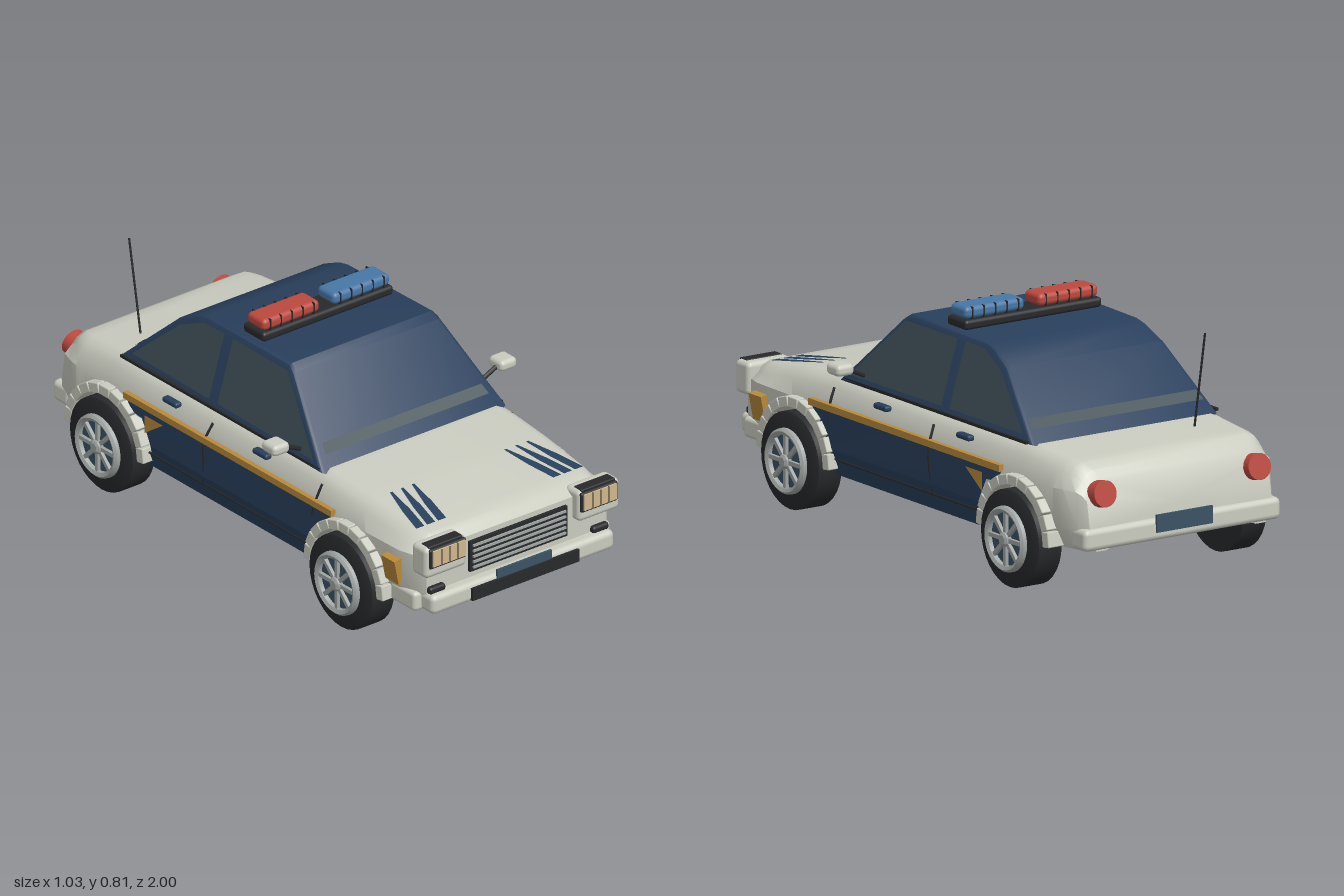
import * as THREE from 'three';
import { toCreasedNormals } from 'three/addons/utils/BufferGeometryUtils.js';
import { RoundedBoxGeometry } from 'three/addons/geometries/RoundedBoxGeometry.js';

const mat = (name, color) => {
  const m = new THREE.MeshStandardMaterial({ color, side: THREE.DoubleSide });
  m.name = name;
  return m;
};
const cream = mat('cream paint', 0xcaccc0), navy = mat('navy paint', 0x293f5c);
const glass = mat('window glass', 0x3c4c53), slate = mat('slate', 0x3b5264);
const black = mat('black rubber', 0x28292b), gold = mat('gold trim', 0xb98a3c);
const red = mat('red lamp', 0xbb493e), blue = mat('blue lamp', 0x4877a6);
const lens = mat('headlight lens', 0xd0b88c), grey = mat('rim grey', 0x9fa5a2);

// Straight-line interpolation in a short table of [position, value]
const lerpTable = (t, v) => {
  if (v <= t[0][0]) return t[0][1];
  for (let i = 1; i < t.length; i++) {
    const [a, b] = [t[i - 1], t[i]];
    if (v <= b[0]) return a[1] + (b[1] - a[1]) * (v - a[0]) / (b[0] - a[0]);
  }
  return t[t.length - 1][1];
};
const topY = z => lerpTable([[-0.975, 0.39], [-0.94, 0.432], [-0.88, 0.453], [-0.65, 0.47],
  [0.42, 0.475], [0.65, 0.458], [0.9, 0.425], [0.95, 0.395]], z);
const floorY = z => lerpTable([[-0.95, 0.18], [-0.88, 0.32], [0.8, 0.32], [0.93, 0.172]], z);
const narrow = z => lerpTable([[-0.975, 0.06], [-0.94, 0.035], [-0.85, 0.01], [-0.5, 0],
  [0.5, 0], [0.85, 0.01], [0.92, 0.03], [0.95, 0.045]], z);
const sideX = (y, z) => lerpTable([[0.15, 0.4], [0.24, 0.425], [0.37, 0.425], [0.44, 0.395],
  [0.475, 0.36]], y) - narrow(z);
const cabinX = (y, z) => (0.383 - 0.08 * (y - 0.47) / 0.265) * (1 + 0.04 * z);
const AXLES = [0.6, -0.65];

// Body: cross-sections along z, open below between the side walls, lifted over the wheels
function bodyGeometry() {
  const zs = [-0.975, -0.96, -0.94, -0.88, -0.3, 0.1, 0.42, 0.85, 0.9, 0.925, 0.95];
  for (const c of AXLES) for (let i = 0; i <= 14; i++) zs.push(c + 0.185 * Math.cos(Math.PI * i / 14));
  zs.sort((a, b) => a - b);
  const lean = (y, z) => z + 0.2 * Math.max(0, y - 0.25) * lerpTable([[-0.975, 1], [-0.88, 0]], z);
  const ring = z => {
    const t = topY(z), b = floorY(z), n = narrow(z);
    const d = Math.min(...AXLES.map(c => Math.abs(z - c)));
    const base = z > AXLES[0] || z < AXLES[1] ? 0.17 : 0.32;
    const low = d < 0.1849 ? Math.max(base, 0.17 + Math.sqrt(0.185 ** 2 - d * d)) : base;
    const half = [[0, t], [0.35 - n, t], [0.378 - n, t - 0.012], [0.397 - n, t - 0.035],
      [0.425 - n, Math.min(0.37, t - 0.05)], [0.425 - n, Math.max(0.24, low)],
      [(low > 0.24 ? 0.425 : 0.4) - n, low], [0.36 - n, low], [0.36 - n, b], [0, b]];
    return [...half, ...half.slice(1, -1).reverse().map(([x, y]) => [-x, y])].map(([x, y]) => [x, y, lean(y, z)]);
  };
  const rings = zs.map(ring), N = rings[0].length;
  const first = zs[0], last = zs[zs.length - 1];
  rings.unshift(rings[0].map(() => [0, 0.29, lean(0.29, first)]));
  rings.push(rings[1].map(() => [0, 0.29, last]));
  const idx = [];
  for (let i = 0; i < rings.length - 1; i++) for (let j = 0; j < N; j++) {
    const a = i * N + j, b = i * N + (j + 1) % N;
    idx.push(a, a + N, b, b, a + N, b + N);
  }
  const g = new THREE.BufferGeometry();
  g.setAttribute('position', new THREE.Float32BufferAttribute(rings.flat(2), 3));
  g.setIndex(idx);
  return toCreasedNormals(g, 0.5);
}

// Cabin: side profile extruded across x, then tapered towards the roof and rear
function cabinGeometry() {
  const s = new THREE.Shape([[0.42, 0.465], [0.17, 0.715], [0.14, 0.735], [-0.3, 0.73], [-0.34, 0.72],
    [-0.43, 0.675], [-0.66, 0.465]].map(p => new THREE.Vector2(...p)));
  const g = new THREE.ExtrudeGeometry(s, { depth: 0.74, bevelThickness: 0.015, bevelSize: 0.015,
    bevelOffset: -0.015, bevelSegments: 2 });
  g.translate(0, 0, -0.37).rotateY(-Math.PI / 2);
  const p = g.attributes.position;
  for (let i = 0; i < p.count; i++) p.setX(i, p.getX(i) / 0.385 * cabinX(p.getY(i), p.getZ(i)));
  return toCreasedNormals(g, 0.5);
}

// Flat polygon whose corners are moved onto a surface by a rule
function plate(points, rule) {
  const g = new THREE.ShapeGeometry(new THREE.Shape(points.map(p => new THREE.Vector2(...p))));
  const p = g.attributes.position;
  for (let i = 0; i < p.count; i++) p.setXYZ(i, ...rule(p.getX(i), p.getY(i)));
  g.computeVertexNormals();
  return g;
}

export function createModel() {
  const car = new THREE.Group();
  car.name = 'patrolCar';
  const add = (name, geo, m, x = 0, y = 0, z = 0, parent = car) => {
    const o = new THREE.Mesh(geo, m);
    o.name = name;
    o.position.set(x, y, z);
    parent.add(o);
    return o;
  };
  // Box given by its limits
  const box = (name, m, x0, x1, y0, y1, z0, z1, r = 0) => {
    const d = [x1 - x0, y1 - y0, z1 - z0];
    return add(name, r ? new RoundedBoxGeometry(...d, 2, r) : new THREE.BoxGeometry(...d), m,
      (x0 + x1) / 2, (y0 + y1) / 2, (z0 + z1) / 2);
  };
  const pair = (name, m, x0, x1, ...rest) => {
    box(name, m, x0, x1, ...rest);
    box(name, m, -x1, -x0, ...rest);
  };
  const rod = (name, m, pts, r) => add(name, new THREE.TubeGeometry(new THREE.CatmullRomCurve3(
    pts.map(p => new THREE.Vector3(...p))), 10, r, 6), m);

  add('body', bodyGeometry(), cream);
  add('cabin', cabinGeometry(), navy);

  // Front end
  box('frontBumper', cream, -0.385, 0.385, 0.17, 0.24, 0.9, 0.99, 0.02);
  box('bumperStrip', black, -0.225, 0.225, 0.18, 0.224, 0.97, 1);
  box('frontPlate', slate, -0.115, 0.115, 0.224, 0.256, 0.985, 0.993);
  box('grille', black, -0.206, 0.206, 0.266, 0.376, 0.93, 0.962);
  for (let i = 0; i < 5; i++) box('grilleSlat', grey, -0.195, 0.195, 0.277 + i * 0.02, 0.285 + i * 0.02, 0.955, 0.968);
  pair('headlightHousing', cream, 0.235, 0.41, 0.31, 0.423, 0.905, 0.985, 0.018);
  pair('headlightFrame', black, 0.242, 0.397, 0.345, 0.418, 0.95, 0.99, 0.008);
  pair('headlightHood', black, 0.25, 0.393, 0.415, 0.426, 0.937, 0.98, 0.005);
  pair('headlightLens', lens, 0.25, 0.387, 0.355, 0.413, 0.985, 0.995);
  for (let i = 1; i < 4; i++) pair('lensBar', black, 0.249 + i * 0.034, 0.252 + i * 0.034, 0.355, 0.413, 0.99, 0.997);
  pair('fogLamp', black, 0.31, 0.378, 0.236, 0.262, 0.92, 0.968, 0.01);
  pair('bumperCorner', cream, 0.36, 0.415, 0.17, 0.24, 0.8, 0.93, 0.015);

  // Rear end
  box('rearBumper', cream, -0.395, 0.395, 0.175, 0.25, -0.99, -0.9, 0.02);
  box('rearPlate', slate, -0.112, 0.112, 0.205, 0.265, -0.997, -0.988);
  const lamp = new THREE.CylinderGeometry(0.045, 0.045, 0.045, 20).rotateX(Math.PI / 2 + 0.2);
  for (const s of [1, -1]) add('tailLight', lamp, red, s * 0.31, 0.36, -0.962);
  rod('antenna', black, [[-0.22, 0.46, -0.74], [-0.22, 0.79, -0.8]], 0.004);

  // Roof light bar
  box('lightBarBase', black, -0.275, 0.275, 0.732, 0.766, -0.14, -0.03, 0.012);
  for (const [s, m] of [[-1, red], [1, blue]]) {
    box('lightBarLamp', m, s * 0.148 - 0.12, s * 0.148 + 0.12, 0.766, 0.808, -0.13, -0.038, 0.016);
    for (let i = -2; i < 3; i++) {
      const x = s * 0.148 + i * 0.046;
      box('lampDivider', black, x - 0.002, x + 0.002, 0.766, 0.807, -0.132, -0.036);
    }
  }

  // Glass bands at the foot of the front and rear windows
  const slope = (z0, k) => (x, y) => [x, y, z0 + k * (y - 0.465)];
  const band = [[-0.345, 0.51], [0.345, 0.51], [0.335, 0.538], [-0.335, 0.538]];
  add('windshieldBand', plate(band, slope(0.424, -1)), glass);
  add('rearWindowBand', plate(band, slope(-0.665, 0.23 / 0.21)), glass);

  for (const s of [1, -1]) {
    const onSide = off => (z, y) => [s * (sideX(y, z) + off), y, z];
    const onCabin = (z, y) => [s * (cabinX(y, z) + 0.004), y, z];
    const line = (name, pts) => rod(name, black, pts.map(p => onSide(0.004)(...p)), 0.0045);

    // Door panels hanging below the body side, open just ahead of the rear arch
    add('doorPanel', plate([[0.42, 0.24], [0.52, 0.37], [-0.56, 0.37], [-0.53, 0.33], [-0.475, 0.325],
      [-0.45, 0.28], [-0.43, 0.24]], onSide(0.004)), navy);
    add('sillPanel', plate([[0.41, 0.15], [0.42, 0.24], [-0.43, 0.24], [-0.435, 0.205], [-0.465, 0.2],
      [-0.465, 0.15]], onSide(0.004)), navy);
    line('sillLine', [[0.41, 0.207], [-0.45, 0.207]]);

    // Gold trim and door seams
    box('sideStripe', gold, s * 0.43 - 0.009, s * 0.43 + 0.009, 0.368, 0.391, -0.56, 0.525);
    add('rearGoldPatch', plate([[-0.36, 0.345], [-0.455, 0.345], [-0.455, 0.28]], onSide(0.008)), gold);
    const patch = add('frontGoldPatch', new THREE.BoxGeometry(0.03, 0.092, 0.07), gold, s * 0.418, 0.295, 0.824);
    patch.rotation.z = -s * 0.2;
    line('frontDoorLine', [[0.43, 0.44], [0.425, 0.39], [0.415, 0.33]]);
    line('middleDoorLine', [[-0.138, 0.435], [-0.15, 0.37], [-0.152, 0.3], [-0.163, 0.21]]);
    for (const z of [0.135, -0.335]) box('doorHandle', navy, s * 0.415 - 0.014, s * 0.415 + 0.014, 0.428, 0.448, z - 0.037, z + 0.037, 0.008);

    // Side windows and belt trim
    add('frontSideWindow', plate([[0.365, 0.495], [0.145, 0.715], [-0.145, 0.715], [-0.145, 0.495]], onCabin), glass);
    add('rearSideWindow', plate([[-0.19, 0.715], [-0.3, 0.712], [-0.405, 0.665], [-0.6, 0.495], [-0.19, 0.495]], onCabin), glass);
    box('beltTrim', black, s * 0.381 - 0.006, s * 0.381 + 0.006, 0.47, 0.48, -0.64, 0.4);

    // Door mirror
    rod('mirrorArm', black, [[s * 0.375, 0.505, 0.29], [s * 0.45, 0.54, 0.29]], 0.008);
    box('mirror', cream, s * 0.479 - 0.035, s * 0.479 + 0.035, 0.526, 0.566, 0.248, 0.322, 0.016);

    // Hood slashes
    for (let i = 0; i < 3; i++) {
      const x = 0.19 + i * 0.046;
      add('hoodSlash', plate([[x, 0.65], [x + 0.014, 0.76], [x + 0.036, 0.862], [x + 0.07, 0.862], [x + 0.045, 0.76], [x + 0.01, 0.65]],
        (u, z) => [s * u, topY(z) + 0.004, z]), navy);
    }

    // Wheels with segmented arches
    for (const z of AXLES) {
      const wheel = new THREE.Group();
      wheel.name = 'wheel';
      wheel.position.set(s * 0.4125, 0.165, z);
      wheel.rotation.y = s > 0 ? 0 : Math.PI;
      car.add(wheel);
      const lathe = pts => toCreasedNormals(new THREE.LatheGeometry(pts.map(p => new THREE.Vector2(...p)), 32)
        .rotateZ(-Math.PI / 2), 0.5);
      add('tire', lathe([[0, -0.0475], [0.163, -0.0475], [0.165, -0.045], [0.165, 0.045], [0.155, 0.05],
        [0.11, 0.055], [0.1, 0.045], [0, 0.045]]), black, 0, 0, 0, wheel);
      add('rimDisc', lathe([[0.1, 0.04], [0.1, 0.055], [0, 0.057]]), slate, 0, 0, 0, wheel);
      add('rimRing', lathe([[0.112, 0.045], [0.11, 0.068], [0.102, 0.076], [0.09, 0.07], [0.088, 0.05]]), grey, 0, 0, 0, wheel);
      add('hub', lathe([[0.026, 0.05], [0.024, 0.074], [0.015, 0.08], [0, 0.08]]), grey, 0, 0, 0, wheel);
      for (let i = 0; i < 8; i++) {
        const a = i * Math.PI / 4;
        const spoke = add('spoke', new THREE.BoxGeometry(0.016, 0.075, 0.014), grey, 0.06, Math.cos(a) * 0.057, Math.sin(a) * 0.057, wheel);
        spoke.rotation.x = a;
      }
      for (let i = 0; i < 11; i++) {
        const a = Math.PI * (i + 0.5) / 11;
        const block = add('archBlock', new RoundedBoxGeometry(0.07, 0.036, 0.053, 1, 0.004), cream,
          s * 0.415, 0.17 + Math.sin(a) * 0.189, z + Math.cos(a) * 0.189);
        block.rotation.x = Math.PI / 2 - a;
      }
    }
  }
  return car;
}
